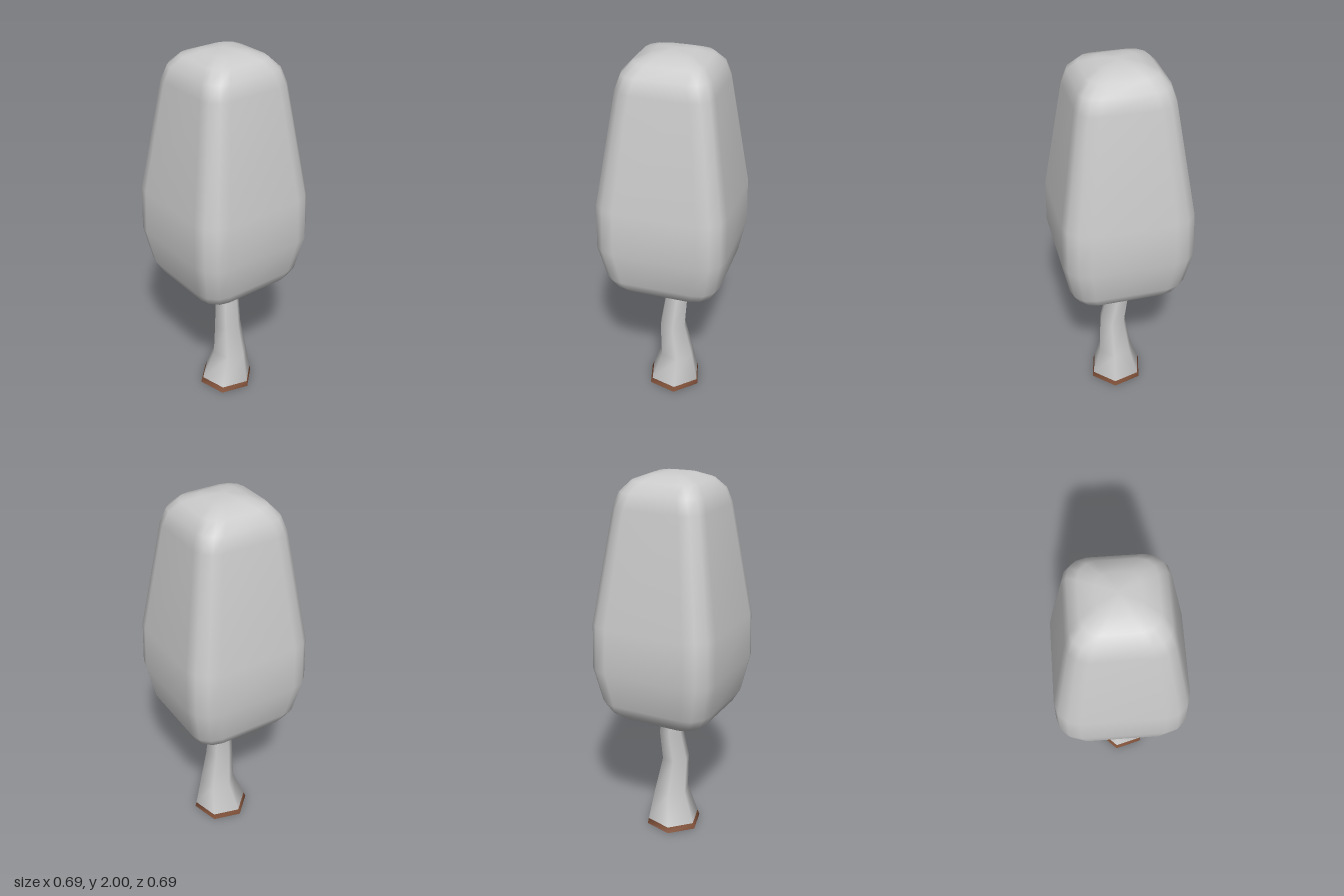
import * as THREE from 'three';

// Skin a stack of equal-length rings (counter-clockwise seen from +z to +x), optionally capped
function loft(rings, capBottom, capTop) {
  const n = rings[0].length, pos = rings.flat(2), index = [];
  for (let i = 0; i < rings.length - 1; i++) {
    for (let j = 0; j < n; j++) {
      const a = i * n + j, b = i * n + (j + 1) % n, c = a + n, d = b + n;
      index.push(a, b, d, a, d, c);
    }
  }
  const cap = (start, centre, up) => {
    const c = pos.length / 3;
    pos.push(...centre);
    for (let j = 0; j < n; j++) {
      const a = start + j, b = start + (j + 1) % n;
      index.push(...(up ? [c, a, b] : [c, b, a]));
    }
  };
  if (capBottom) cap(0, capBottom, false);
  if (capTop) cap((rings.length - 1) * n, capTop, true);
  const geo = new THREE.BufferGeometry();
  geo.setAttribute('position', new THREE.Float32BufferAttribute(pos, 3));
  geo.setIndex(index);
  geo.computeVertexNormals();
  return geo;
}

// Square ring with rounded corners, three facets per corner
function roundedSquare(y, half, radius) {
  const ring = [], inner = half - radius;
  for (let q = 0; q < 4; q++) {
    const mid = (q + 0.5) * Math.PI / 2;
    for (let k = 0; k <= 3; k++) {
      const a = (q + k / 3) * Math.PI / 2;
      ring.push([
        Math.sign(Math.sin(mid)) * inner + Math.sin(a) * radius, y,
        Math.sign(Math.cos(mid)) * inner + Math.cos(a) * radius,
      ]);
    }
  }
  return ring;
}

// Six-sided trunk ring with a corner on the diagonal
function hexagon([y, x, z, r]) {
  return Array.from({ length: 6 }, (_, k) => {
    const a = -Math.PI / 4 + k * Math.PI / 3;
    return [x + Math.sin(a) * r, y, z + Math.cos(a) * r];
  });
}

function addMesh(group, name, geo, color, side = THREE.FrontSide) {
  const mesh = new THREE.Mesh(geo, new THREE.MeshStandardMaterial({ color, side }));
  mesh.name = name;
  group.add(mesh);
}

export function createModel() {
  const group = new THREE.Group();
  group.name = 'tree';

  // Crown: height, half width, corner radius
  const crown = [
    [0.70, 0.16, 0.06], [0.715, 0.235, 0.09], [0.75, 0.275, 0.105], [0.81, 0.308, 0.115],
    [1.0, 0.345, 0.125], [1.24, 0.34, 0.125], [1.83, 0.247, 0.10],
    [1.905, 0.222, 0.095], [1.957, 0.175, 0.085], [1.985, 0.10, 0.055],
  ].map((p) => roundedSquare(...p));
  addMesh(group, 'crown', loft(crown, [0, 0.697, 0], [0, 2, 0]), 0xcccccc);

  // Crooked trunk: height, centre x, centre z, radius
  const foot = [0, 0.007, 0.015, 0.157], bandTop = [0.03, 0.01, 0.016, 0.148];
  const trunk = [
    bandTop, [0.2, 0.026, 0.025, 0.099], [0.4, 0.003, 0.035, 0.077],
    [0.57, 0.017, 0.009, 0.068], [0.76, 0.014, 0.016, 0.06],
  ].map(hexagon);
  addMesh(group, 'trunk', loft(trunk), 0xcccccc, THREE.DoubleSide);

  // Brown band around the open foot of the trunk
  addMesh(group, 'trunkFoot', loft([foot, bandTop].map(hexagon)), 0x84543c, THREE.DoubleSide);

  return group;
}
